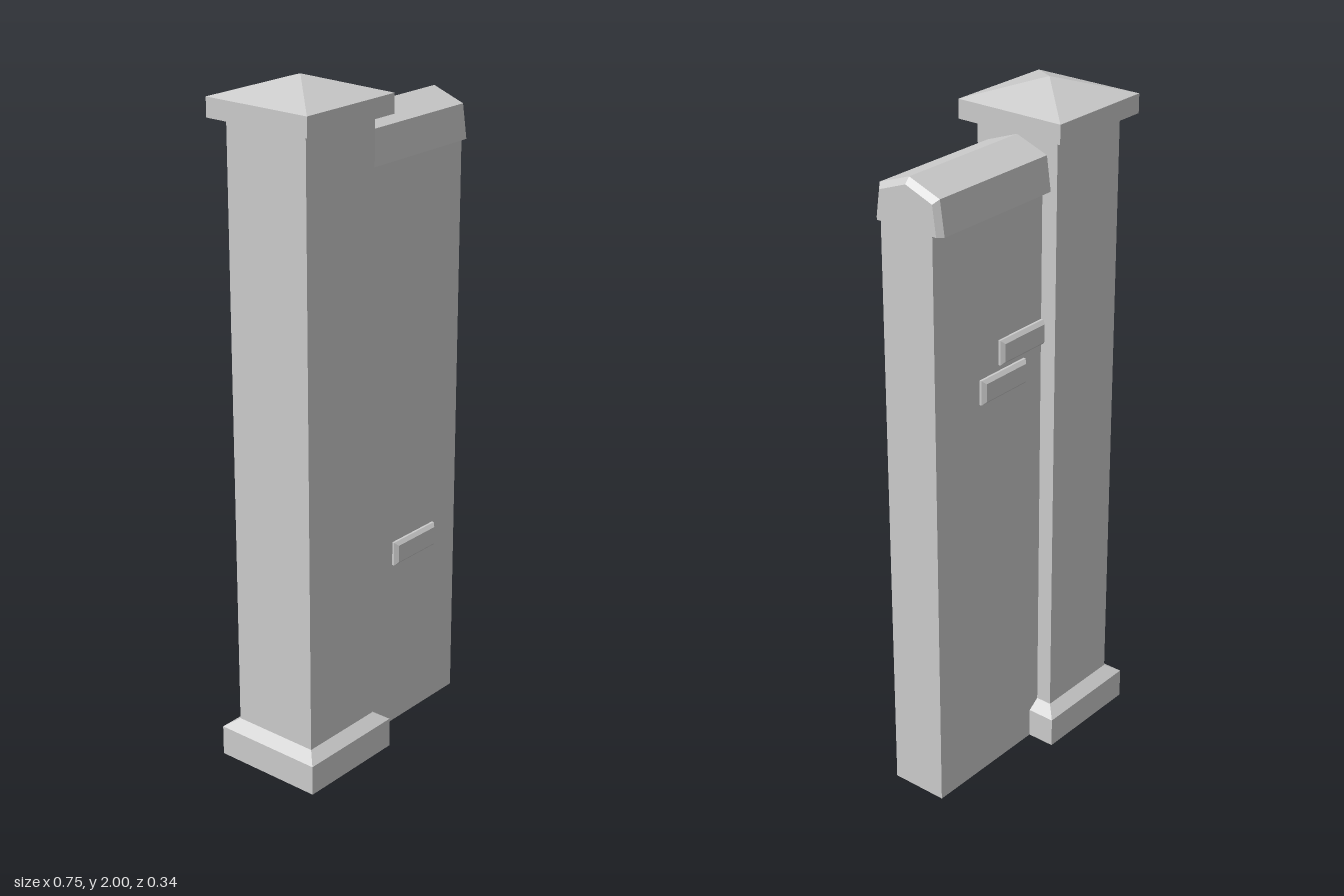
import * as THREE from 'three';

const material = new THREE.MeshStandardMaterial({ color: 0xcccccc, flatShading: true });
const PILLAR_X = -0.203, PILLAR_HALF = 0.136, TRIM_HALF = 0.172;
const WALL_LEFT = PILLAR_X + PILLAR_HALF, WALL_END = 0.375, WALL_HALF = 0.087;

function add(parent, name, geometry) {
  const mesh = new THREE.Mesh(geometry, material);
  mesh.name = name;
  parent.add(mesh);
  return mesh;
}

// Square block on the pillar axis, tapering from one half-width to another
function squareBlock(bottom, top, y0, y1) {
  const r = Math.SQRT2;
  return new THREE.CylinderGeometry(top * r, bottom * r, y1 - y0, 4)
    .rotateY(Math.PI / 4)
    .translate(PILLAR_X, (y0 + y1) / 2, 0);
}

// Coping: gabled cross-sections lofted along x, closed at both ends
function copingGeometry() {
  const outer = [[0.115, 1.74], [0.101, 1.838], [0, 1.875], [-0.101, 1.838], [-0.115, 1.74]];
  const inner = [[0.1, 1.74], [0.088, 1.825], [0, 1.858], [-0.088, 1.825], [-0.1, 1.74]];
  const rings = [[WALL_LEFT, outer], [0.36, outer], [WALL_END, inner]];
  const n = outer.length, positions = [], index = [];
  for (const [x, ring] of rings) for (const [z, y] of ring) positions.push(x, y, z);
  for (let s = 0; s < rings.length - 1; s++) {
    for (let i = 0; i < n; i++) {
      const a = s * n + i, b = s * n + (i + 1) % n;
      index.push(a, a + n, b + n, a, b + n, b);
    }
  }
  const last = (rings.length - 1) * n;
  for (let i = 1; i < n - 1; i++) {
    index.push(0, i, i + 1);
    index.push(last, last + i + 1, last + i);
  }
  const geometry = new THREE.BufferGeometry();
  geometry.setAttribute('position', new THREE.Float32BufferAttribute(positions, 3));
  geometry.setIndex(index);
  const flat = geometry.toNonIndexed();
  flat.computeVertexNormals();
  return flat;
}

// Bevelled brick, half sunk in the wall and standing proud of it
function brickGeometry(width, height) {
  const bevel = 0.01, w = width / 2 - bevel, h = height / 2 - bevel;
  const shape = new THREE.Shape([
    new THREE.Vector2(-w, -h), new THREE.Vector2(w, -h),
    new THREE.Vector2(w, h), new THREE.Vector2(-w, h),
  ]);
  return new THREE.ExtrudeGeometry(shape, {
    depth: 0.014, bevelEnabled: true, bevelSegments: 1, bevelSize: bevel, bevelThickness: bevel,
  }).translate(0, 0, -0.007);
}

export function createModel() {
  const model = new THREE.Group();
  model.name = 'gatePostWithWall';

  // Pillar with plinth and pyramid cap
  const pillar = new THREE.Group();
  pillar.name = 'pillar';
  model.add(pillar);
  add(pillar, 'plinth', squareBlock(TRIM_HALF, TRIM_HALF, 0, 0.09));
  add(pillar, 'plinthChamfer', squareBlock(TRIM_HALF, PILLAR_HALF, 0.09, 0.115));
  add(pillar, 'shaft', squareBlock(PILLAR_HALF, PILLAR_HALF, 0.115, 1.89));
  add(pillar, 'capSlab', squareBlock(TRIM_HALF, TRIM_HALF, 1.89, 1.945));
  add(pillar, 'capPyramid', squareBlock(TRIM_HALF, 0, 1.945, 2));

  // Wall and its coping
  const length = WALL_END - WALL_LEFT;
  add(model, 'wall', new THREE.BoxGeometry(length, 1.74, 2 * WALL_HALF))
    .position.set((WALL_LEFT + WALL_END) / 2, 0.87, 0);
  add(model, 'coping', copingGeometry());

  // Raised bricks: one on the front, two on the back
  const bricks = [
    ['frontBrick', 0.175, 0.558, 1],
    ['upperBackBrick', 0.023, 1.33, -1],
    ['lowerBackBrick', 0.102, 1.24, -1],
  ];
  for (const [name, x, y, side] of bricks) {
    add(model, name, brickGeometry(0.187, 0.073)).position.set(x, y, side * WALL_HALF);
  }
  return model;
}
